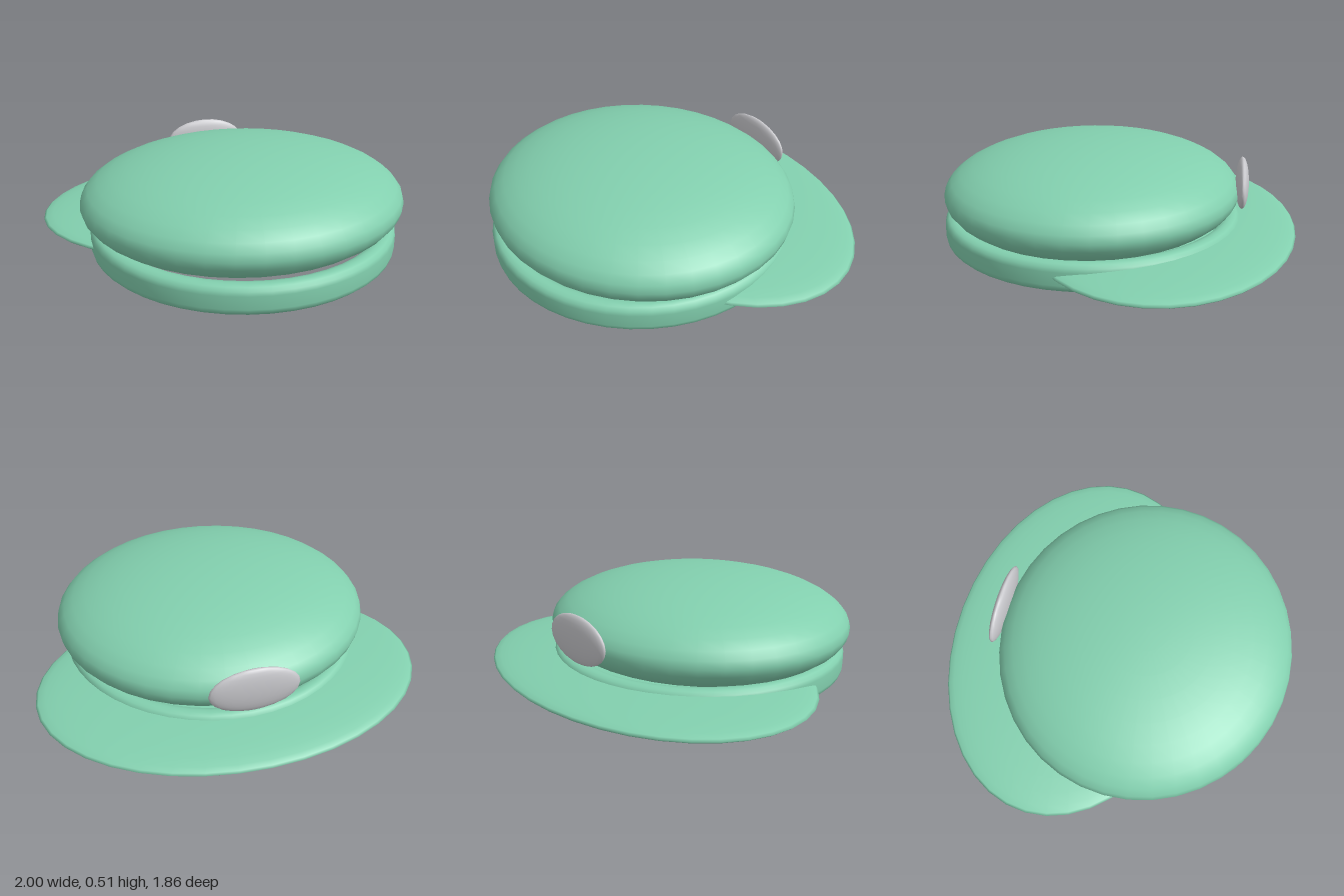
import * as THREE from 'three';

export function createModel() {
  const cap = new THREE.Group();
  cap.name = 'cap';
  const green = new THREE.MeshStandardMaterial({ color: 0x82cfae });
  green.name = 'mint green cloth';
  const silver = new THREE.MeshStandardMaterial({ color: 0xc8c8cc });
  silver.name = 'silver';

  // Stretched sphere with the given half sizes
  function ellipsoid(name, material, radii, position, segments = 40) {
    const geometry = new THREE.SphereGeometry(1, segments, segments / 2);
    geometry.scale(...radii);
    const mesh = new THREE.Mesh(geometry, material);
    mesh.name = name;
    mesh.position.set(...position);
    cap.add(mesh);
  }

  // Puffy crown, flat visor and oval badge
  ellipsoid('crown', green, [0.83, 0.25, 0.777], [0, 0.26, 0.145]);
  ellipsoid('visor', green, [1, 0.062, 0.7], [0, 0.075, -0.23]);
  ellipsoid('badge', silver, [0.225, 0.123, 0.034], [0, 0.305, -0.645], 24);

  // Headband: an open ring with a rounded section, revolved
  const inner = 0.69, outer = 0.788, height = 0.145, r = 0.04;
  const profile = [];
  const corners = [[outer - r, r, -90], [outer - r, height - r, 0], [inner + r, height - r, 90], [inner + r, r, 180]];
  for (const [cx, cy, start] of corners) {
    for (let i = 0; i <= 3; i++) {
      const a = THREE.MathUtils.degToRad(start + i * 30);
      profile.push(new THREE.Vector2(cx + r * Math.cos(a), cy + r * Math.sin(a)));
    }
  }
  profile.push(profile[0].clone());
  const band = new THREE.Mesh(new THREE.LatheGeometry(profile, 48), green);
  band.name = 'headband';
  band.position.z = 0.145;
  cap.add(band);

  return cap;
}
